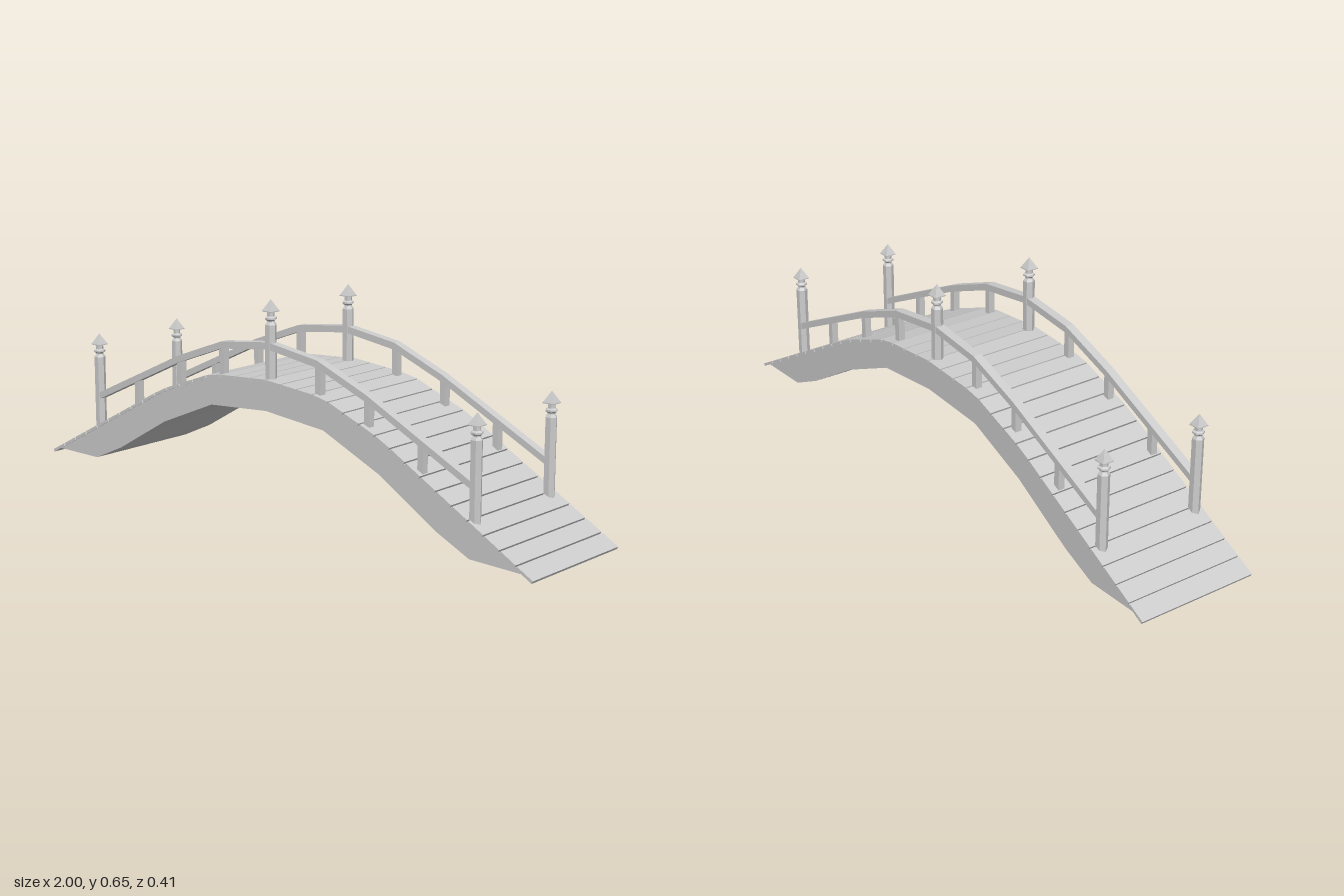
import * as THREE from 'three';
import { toCreasedNormals } from 'three/addons/utils/BufferGeometryUtils.js';

const material = new THREE.MeshStandardMaterial({ color: 0xcccccc });
const flat = new THREE.MeshStandardMaterial({ color: 0xcccccc, flatShading: true });

// Left halves of the curves, from the end to the crown
const DECK = [[-1, 0.008], [-0.455, 0.305], [-0.23, 0.39], [0, 0.407]];
const BODY_TOP = [[-0.965, 0.018], [-0.455, 0.295], [-0.23, 0.381], [0, 0.398]];
const BODY_BOTTOM = [[-0.965, 0.018], [-0.78, 0.02], [-0.66, 0.075], [-0.447, 0.2], [-0.233, 0.291], [0, 0.31]];
const RAIL = [[-0.78, 0.225], [-0.39, 0.41], [-0.2, 0.482], [0, 0.508]];

const mirror = (half) => [...half, ...half.slice(0, -1).reverse().map(([x, y]) => [-x, y])];

// Height of a half curve at any x
function heightAt(half, x) {
  const ax = -Math.abs(x);
  for (let i = 1; i < half.length; i++) {
    const [x0, y0] = half[i - 1], [x1, y1] = half[i];
    if (ax <= x1) return y0 + ((y1 - y0) * (ax - x0)) / (x1 - x0);
  }
  return half[half.length - 1][1];
}

// Band between two curves, extruded across the bridge
function band(top, bottom, width) {
  const outline = [...bottom, ...top.slice().reverse()].map(([x, y]) => new THREE.Vector2(x, y));
  const geo = new THREE.ExtrudeGeometry(new THREE.Shape(outline), { depth: width, bevelEnabled: false });
  return geo.translate(0, 0, -width / 2);
}

function add(parent, name, geo, mat, x = 0, y = 0, z = 0) {
  const mesh = new THREE.Mesh(geo, mat);
  mesh.name = name;
  mesh.position.set(x, y, z);
  parent.add(mesh);
  return mesh;
}

// Hexagonal post with a turned neck and a pyramid cap; y is the height of its tip
function makePost(name, x, y, z, foot) {
  const post = new THREE.Group();
  post.name = name;
  const profile = [[0, foot - y], [0.018, foot - y], [0.018, -0.079], [0.012, -0.07], [0.012, -0.067],
    [0.0185, -0.062], [0.0185, -0.057], [0.012, -0.053], [0.012, -0.036]];
  const shaft = new THREE.LatheGeometry(profile.map((p) => new THREE.Vector2(...p)), 6);
  add(post, 'postShaft', shaft.rotateY(Math.PI / 2), flat);
  const cap = new THREE.CylinderGeometry(0, 0.0187 * Math.SQRT2, 0.035, 4).rotateY(Math.PI / 4);
  add(post, 'postCap', cap, flat, 0, -0.0195, 0);
  add(post, 'postCapRim', new THREE.BoxGeometry(0.0374, 0.003, 0.0374), flat, 0, -0.0375, 0);
  post.position.set(x, y, z);
  return post;
}

// Planks laid end to end along the deck curve
function makePlanks(count) {
  const planks = new THREE.Group();
  planks.name = 'deckPlanks';
  const path = new THREE.CurvePath();
  const pts = mirror(DECK).map(([x, y]) => new THREE.Vector3(x, y, 0));
  for (let i = 1; i < pts.length; i++) path.add(new THREE.LineCurve3(pts[i - 1], pts[i]));
  const thick = 0.009, gap = 0.005;
  for (let i = 0; i < count; i++) {
    const a = path.getPointAt(i / count), b = path.getPointAt((i + 1) / count);
    const length = a.distanceTo(b);
    const trim = i === 0 || i === count - 1 ? gap / 2 : gap;
    const shift = i === 0 ? -gap / 4 : i === count - 1 ? gap / 4 : 0;
    const geo = new THREE.BoxGeometry(length - trim, thick, 0.408).translate(shift, -thick / 2, 0);
    const plank = add(planks, 'plank', geo, material, (a.x + b.x) / 2, (a.y + b.y) / 2, 0);
    plank.rotation.z = Math.atan2(b.y - a.y, b.x - a.x);
  }
  return planks;
}

// Handrail, balusters and three posts along one side
function makeRailing(name, z) {
  const railing = new THREE.Group();
  railing.name = name;
  const rail = mirror(RAIL);
  const offset = (d) => rail.map(([x, y]) => [x, y + d]);
  add(railing, 'handrail', band(offset(0.011), offset(-0.011), 0.028), flat, 0, 0, z);
  for (const x of [-0.59, -0.39, -0.2, 0.2, 0.39, 0.59]) {
    const low = heightAt(DECK, x) - 0.008, high = heightAt(RAIL, x);
    add(railing, 'baluster', new THREE.BoxGeometry(0.02, high - low, 0.022), flat, x, (low + high) / 2, z);
  }
  for (const x of [-0.78, 0, 0.78]) {
    const tip = x === 0 ? 0.65 : 0.437;
    railing.add(makePost(x === 0 ? 'middlePost' : 'endPost', x, tip, z, heightAt(DECK, x) - 0.016));
  }
  return railing;
}

export function createModel() {
  const bridge = new THREE.Group();
  bridge.name = 'archedFootbridge';

  // Solid arch under the deck, with pointed ends
  const top = mirror(BODY_TOP).slice(1, -1);
  add(bridge, 'archBody', toCreasedNormals(band(top, mirror(BODY_BOTTOM), 0.402), 0.55), material);

  bridge.add(makePlanks(34));
  bridge.add(makeRailing('frontRailing', 0.177));
  bridge.add(makeRailing('backRailing', -0.169));
  return bridge;
}
